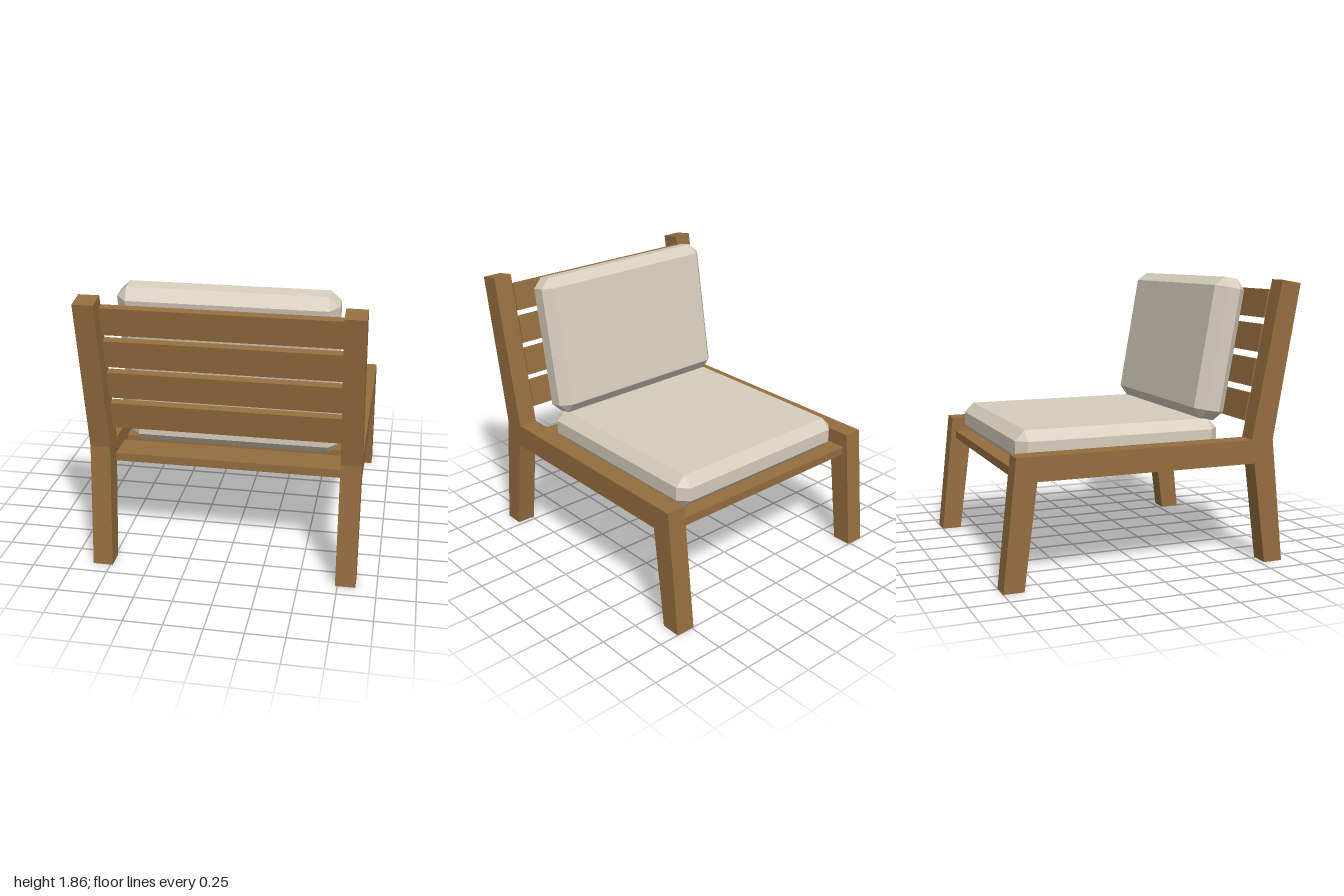
import * as THREE from 'three';
import { ConvexGeometry } from 'three/addons/geometries/ConvexGeometry.js';

const TILT = THREE.MathUtils.degToRad(10);

// Box with every edge and corner cut at 45 degrees
function chamferedBox(w, h, d, c) {
  const points = [];
  for (const sx of [-1, 1]) for (const sy of [-1, 1]) for (const sz of [-1, 1]) {
    const [x, y, z] = [sx * w / 2, sy * h / 2, sz * d / 2];
    points.push(
      new THREE.Vector3(x, y - sy * c, z - sz * c),
      new THREE.Vector3(x - sx * c, y, z - sz * c),
      new THREE.Vector3(x - sx * c, y - sy * c, z),
    );
  }
  return new ConvexGeometry(points);
}

export function createModel() {
  const model = new THREE.Group();
  model.name = 'loungeChair';

  const wood = new THREE.MeshStandardMaterial({ color: 0x946d3f });
  wood.name = 'wood';
  const fabric = new THREE.MeshStandardMaterial({ color: 0xd6ccbc });
  fabric.name = 'fabric';

  function add(name, geometry, material, x, y, z, tilt = 0) {
    const mesh = new THREE.Mesh(geometry, material);
    mesh.name = name;
    mesh.position.set(x, y, z);
    mesh.rotation.x = tilt;
    model.add(mesh);
  }

  // Side frames: legs, rail and back post in one outline of (z, y)
  const outline = [
    [0.78, 0], [0.91, 0], [0.823, 0.82], [1, 1.825], [0.867, 1.848], [0.67, 0.825],
    [-0.91, 0.825], [-1, 0], [-0.868, 0], [-0.78, 0.67], [0.692, 0.67],
  ].map(([z, y]) => new THREE.Vector2(z, y));
  const frame = new THREE.ExtrudeGeometry(new THREE.Shape(outline), { depth: 0.13, bevelEnabled: false });
  frame.translate(0, 0, -0.065).rotateY(-Math.PI / 2);
  add('leftFrame', frame, wood, 0.8, 0, 0);
  add('rightFrame', frame, wood, -0.8, 0, 0);

  // Seat slats between the rails
  const seatSlat = new THREE.BoxGeometry(1.47, 0.055, 0.203);
  for (let i = 0; i < 6; i++) add('seatSlat', seatSlat, wood, 0, 0.6985, -0.785 + i * 0.278);

  // Back slats, leaning with the posts
  const backSlat = new THREE.BoxGeometry(1.47, 0.183, 0.052);
  for (let i = 0; i < 4; i++) add('backSlat', backSlat, wood, 0, 1.019 + i * 0.2235, 0.726 + i * 0.042, TILT);

  // Cushions
  add('seatCushion', chamferedBox(1.375, 0.218, 1.38, 0.064), fabric, 0, 0.836, -0.155);
  add('backCushion', chamferedBox(1.375, 0.934, 0.218, 0.064), fabric, 0, 1.396, 0.548, TILT);

  return model;
}
